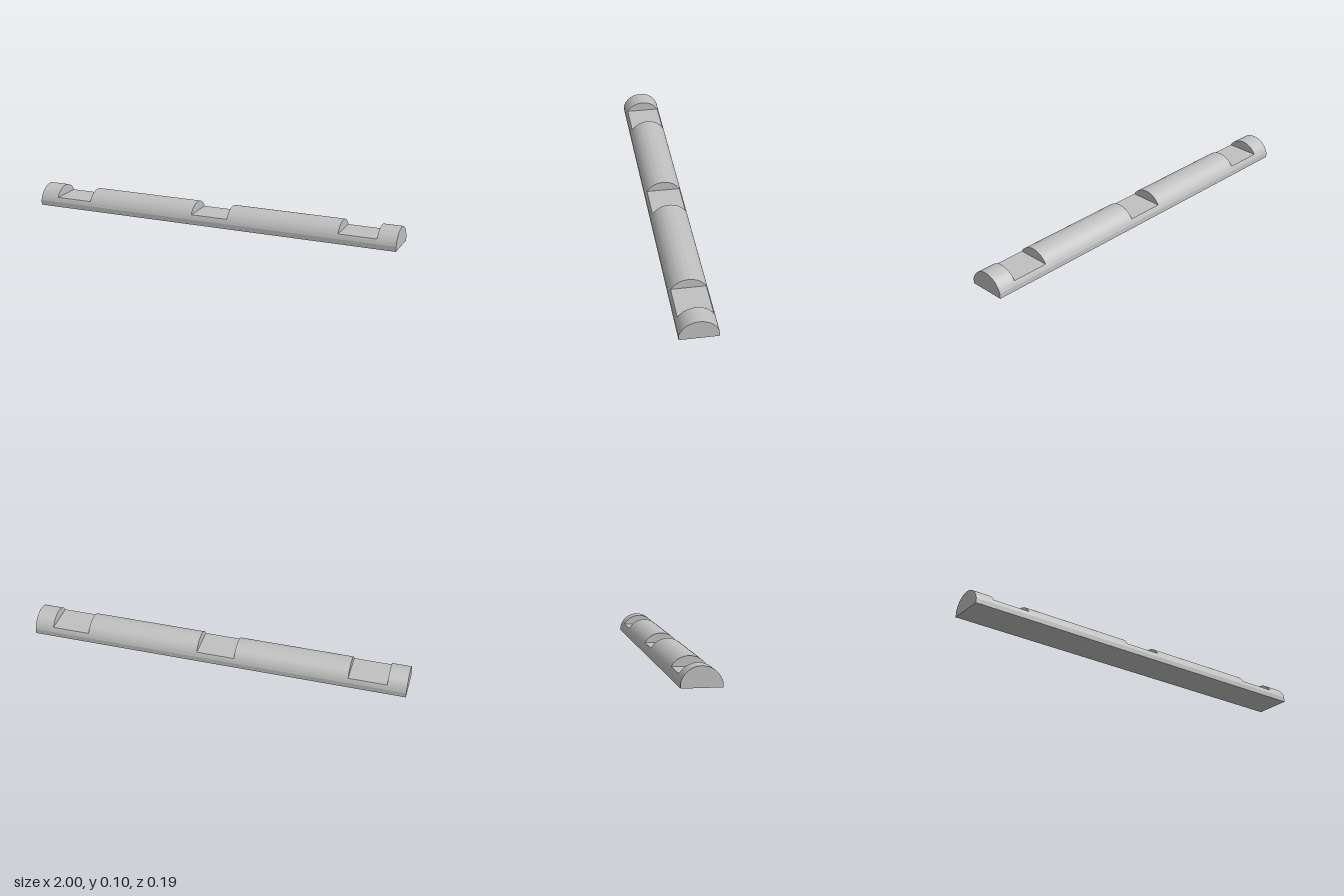
import * as THREE from 'three';
import { toCreasedNormals } from 'three/addons/utils/BufferGeometryUtils.js';

const RADIUS = 0.1;
const EDGE = Math.PI / 12; // angle where the round top meets the upright sides
const NOTCH_Y = 0.05;

// Half-round cross-section with upright sides; a notch cuts it flat at NOTCH_Y
function profile(notched) {
  const w = RADIUS * Math.cos(EDGE);
  const cut = Math.asin(NOTCH_Y / RADIUS);
  const s = new THREE.Shape();
  s.moveTo(-w, 0);
  s.lineTo(w, 0);
  if (notched) {
    s.absarc(0, 0, RADIUS, EDGE, cut, false);
    s.absarc(0, 0, RADIUS, Math.PI - cut, Math.PI - EDGE, false);
  } else {
    s.absarc(0, 0, RADIUS, EDGE, Math.PI - EDGE, false);
  }
  s.closePath();
  return s;
}

export function createModel() {
  const group = new THREE.Group();
  group.name = 'notchedHalfRoundBar';
  const grey = new THREE.MeshStandardMaterial({ color: 0xc0c0c0 });
  grey.name = 'grey';

  // Round and notched lengths alternate along x
  const stops = [-1, -0.9, -0.7, -0.1, 0.1, 0.7, 0.9, 1];
  for (let i = 0; i < stops.length - 1; i++) {
    const notched = i % 2 === 1;
    const geo = new THREE.ExtrudeGeometry(profile(notched), {
      depth: stops[i + 1] - stops[i],
      bevelEnabled: false,
      curveSegments: notched ? 6 : 30,
    });
    geo.rotateY(Math.PI / 2);
    const mesh = new THREE.Mesh(toCreasedNormals(geo, 0.2), grey);
    mesh.position.x = stops[i];
    mesh.name = (notched ? 'notch' : 'roundSection') + (Math.floor(i / 2) + 1);
    group.add(mesh);
  }
  return group;
}
